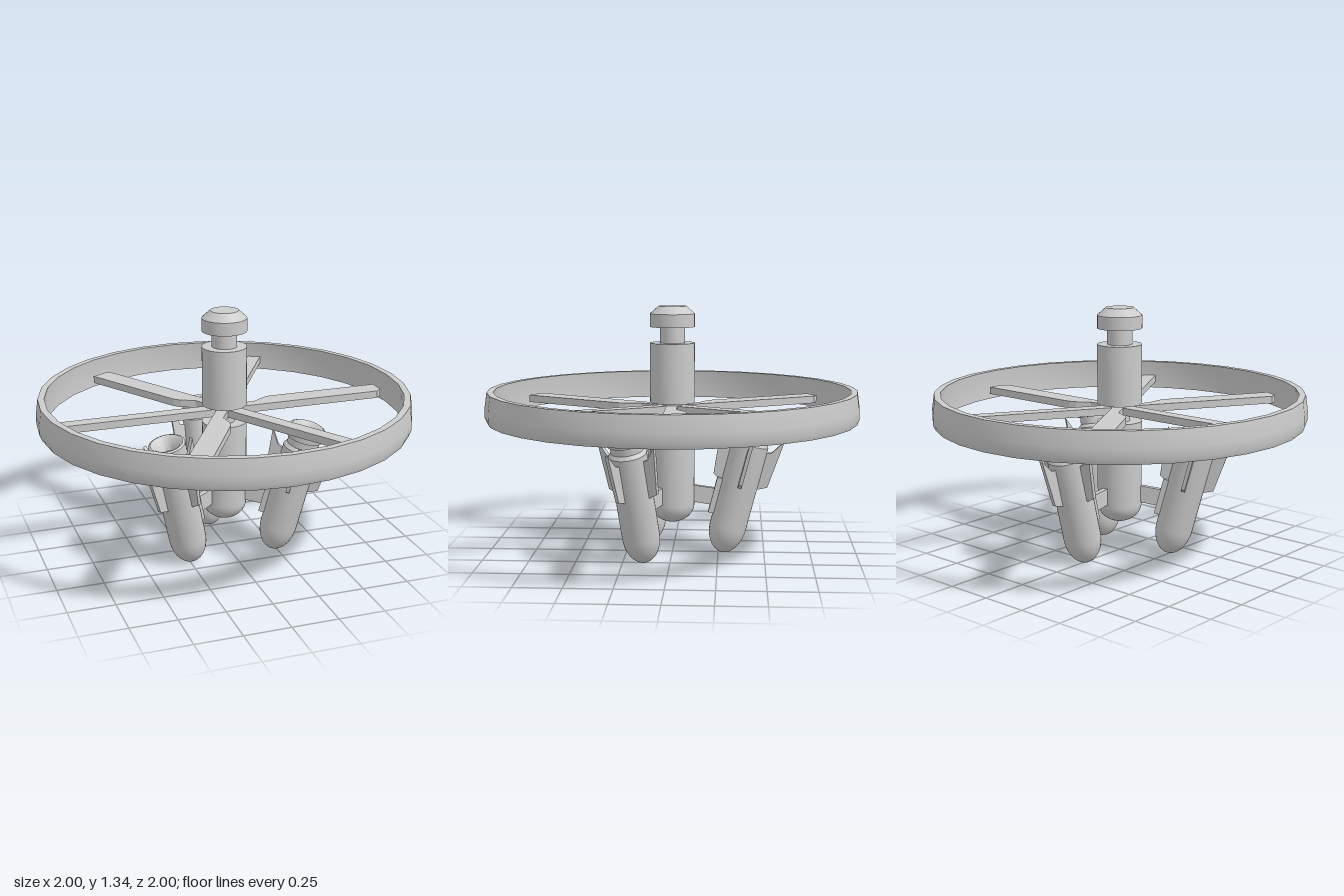
import * as THREE from 'three';
import { toCreasedNormals } from 'three/addons/utils/BufferGeometryUtils.js';

const material = new THREE.MeshStandardMaterial({ color: 0xcccccc });

function mesh(name, geometry) {
  const m = new THREE.Mesh(geometry, material);
  m.name = name;
  return m;
}

// Turned part from [radius, height] pairs, outside listed bottom to top
function lathe(name, points, segments = 32) {
  const geometry = new THREE.LatheGeometry(points.map(([r, y]) => new THREE.Vector2(r, y)), segments);
  return mesh(name, toCreasedNormals(geometry, 0.6));
}

// Flat plate cut from an outline in the xy plane, centred on z = 0
function plate(name, points, thickness) {
  const shape = new THREE.Shape(points.map(([x, y]) => new THREE.Vector2(x, y)));
  const geometry = new THREE.ExtrudeGeometry(shape, { depth: thickness, bevelEnabled: false });
  return mesh(name, geometry.translate(0, 0, -thickness / 2));
}

function box(name, size, position) {
  const m = mesh(name, new THREE.BoxGeometry(...size));
  m.position.set(...position);
  return m;
}

// Quarter-ellipse nose from the tip at y0 up to full radius
function dome(radius, height, y0, steps = 10) {
  return Array.from({ length: steps + 1 }, (_, i) => {
    const a = (i / steps) * Math.PI / 2;
    return [radius * Math.sin(a), y0 + height * (1 - Math.cos(a))];
  });
}

// Finned pod: axis along y, nose tip at the origin
function createPod() {
  const pod = new THREE.Group();
  pod.name = 'pod';
  pod.add(lathe('podBody', [
    ...dome(0.1, 0.15, 0), [0.1, 0.62], [0.085, 0.64], [0.085, 0.68],
    [0.097, 0.68], [0.097, 0.742], [0.085, 0.748], [0.07, 0.74], [0.042, 0.7], [0.036, 0.68], [0, 0.68],
  ]));
  for (let i = 0; i < 4; i++) {
    const fin = plate('fin', [[0.08, 0.375], [0.15, 0.41], [0.176, 0.68], [0.125, 0.6], [0.08, 0.585]], 0.02);
    fin.rotation.y = i * Math.PI / 2;
    pod.add(fin);
  }
  // Mounting rail on the side facing the hub
  pod.add(box('mountingRail', [0.04, 0.2, 0.06], [-0.105, 0.3, 0]));
  return pod;
}

export function createModel() {
  const model = new THREE.Group();
  model.name = 'rotorCraft';

  // Central column
  model.add(lathe('lowerBody', [...dome(0.12, 0.1, 0.175), [0.12, 0.735], [0, 0.735]]));
  model.add(lathe('rotorShaft', [[0.055, 0.72], [0.055, 0.84]]));
  model.add(lathe('upperBody', [[0, 0.83], [0.12, 0.83], [0.12, 1.15], [0, 1.15]]));
  model.add(lathe('neck', [[0.067, 1.14], [0.067, 1.24]]));
  model.add(lathe('cap', [[0, 1.235], [0.12, 1.235], [0.12, 1.305], [0.075, 1.345], [0, 1.345]]));

  // Outer hoop
  model.add(lathe('hoop', [
    [0.955, 0.74], [0.99, 0.74], [1, 0.765], [1, 0.815], [0.988, 0.9],
    [0.953, 0.9], [0.96, 0.82], [0.955, 0.74],
  ]));

  // Alternating wide blades and straight spokes
  const bladeOutline = [
    [0, -0.03], [0.89, -0.03], [0.922, -0.005], [0.922, 0.09],
    [0.29, 0.09], [0.25, 0.077], [0.18, 0.03], [0, 0.03],
  ];
  const spokeOutline = [[0, -0.037], [0.97, -0.037], [0.97, 0.037], [0, 0.037]];
  for (let i = 0; i < 6; i++) {
    const arm = new THREE.Group();
    const isBlade = i % 2 === 0;
    arm.name = isBlade ? 'bladeArm' : 'spokeArm';
    const part = plate(isBlade ? 'blade' : 'spoke', isBlade ? bladeOutline : spokeOutline, 0.04);
    part.rotation.x = -Math.PI / 2;
    part.position.y = 0.795;
    arm.add(part);
    arm.rotation.y = i * Math.PI / 3;
    model.add(arm);
  }

  // Three pods leaning outward on struts
  for (let i = 0; i < 3; i++) {
    const mount = new THREE.Group();
    mount.name = 'podMount';
    const pod = createPod();
    pod.position.set(0.266, 0.008, 0);
    pod.rotation.z = -0.253;
    mount.add(pod);
    mount.add(plate('strut', [[0.1, 0.29], [0.25, 0.265], [0.25, 0.36], [0.1, 0.38]], 0.03));
    mount.rotation.y = Math.PI / 2 + i * Math.PI * 2 / 3;
    model.add(mount);
  }
  return model;
}
